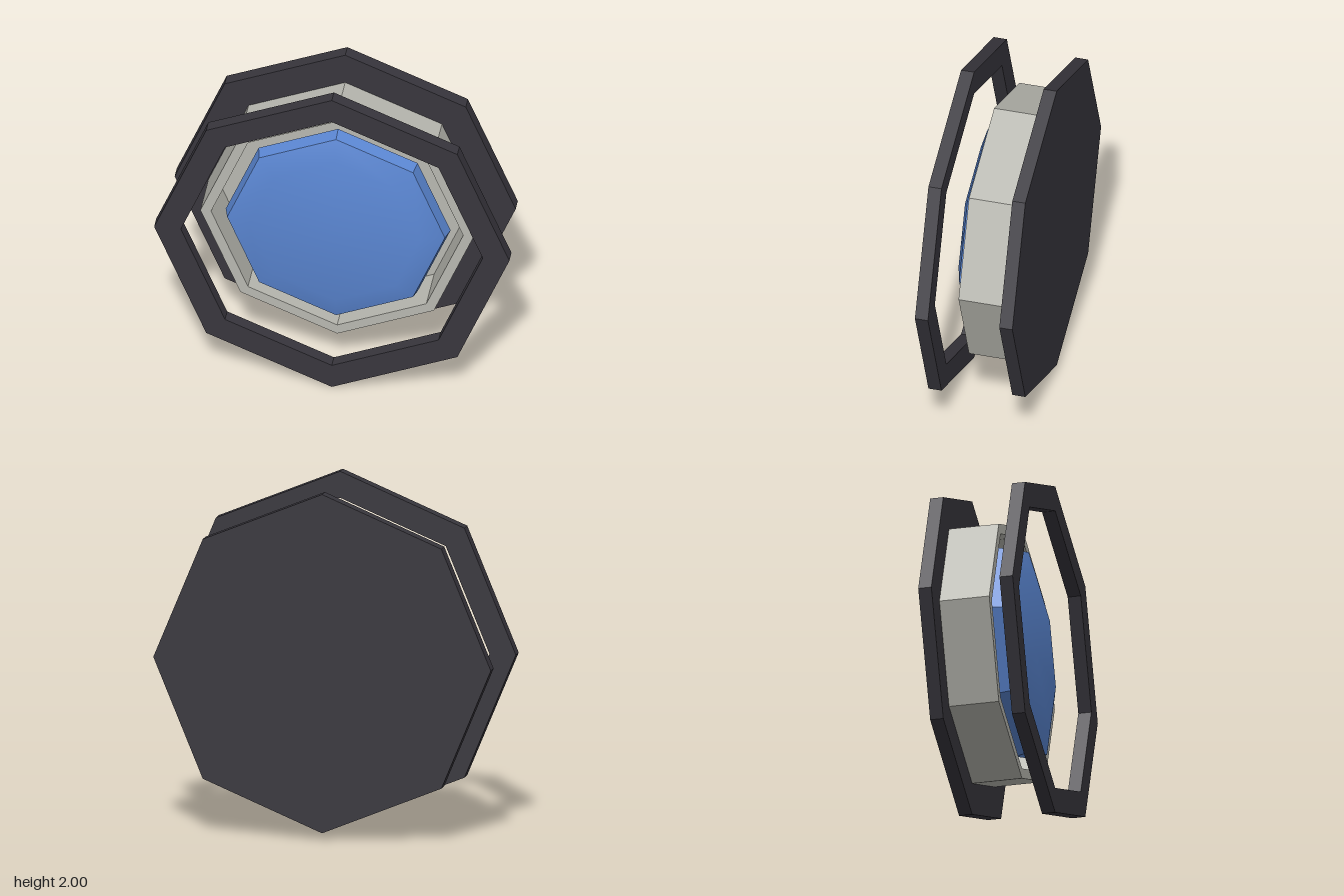
import * as THREE from 'three';
import { toCreasedNormals } from 'three/addons/utils/BufferGeometryUtils.js';

const SIDES = 8;

function material(name, color) {
  const m = new THREE.MeshStandardMaterial({ color });
  m.name = name;
  return m;
}

// Octagonal solid turned about the z axis; profile is [radius, z], outside going forward
function octagon(name, profile, mat) {
  const points = profile.map(([r, z]) => new THREE.Vector2(r, z));
  const turned = new THREE.LatheGeometry(points, SIDES).rotateX(Math.PI / 2);
  const mesh = new THREE.Mesh(toCreasedNormals(turned, 0.6), mat);
  mesh.name = name;
  mesh.position.y = 1;
  return mesh;
}

export function createModel() {
  const dark = material('charcoal', 0x38363d);
  const grey = material('warmGrey', 0xb8b8b0);
  const blue = material('blue', 0x5a86d2);

  const model = new THREE.Group();
  model.name = 'octagonalPorthole';
  model.add(
    // Solid plate at the back
    octagon('backPlate', [[0, -0.275], [0.96, -0.275], [0.96, -0.2], [0, -0.2]], dark),
    // Deep tray: outer wall, rim, inner wall and floor
    octagon('housing', [[0.77, -0.2], [0.77, 0.085], [0.71, 0.085], [0.71, -0.19], [0, -0.19]], grey),
    // Slightly tapered lens with a softly bevelled front
    octagon('lens', [[0, 0.05], [0.633, 0.05], [0.613, 0.123], [0.48, 0.162], [0, 0.162]], blue),
    // Open ring floating in front
    octagon('frontRing', [[0.85, 0.2], [1, 0.2], [1, 0.275], [0.85, 0.275], [0.85, 0.2]], dark)
  );
  return model;
}
